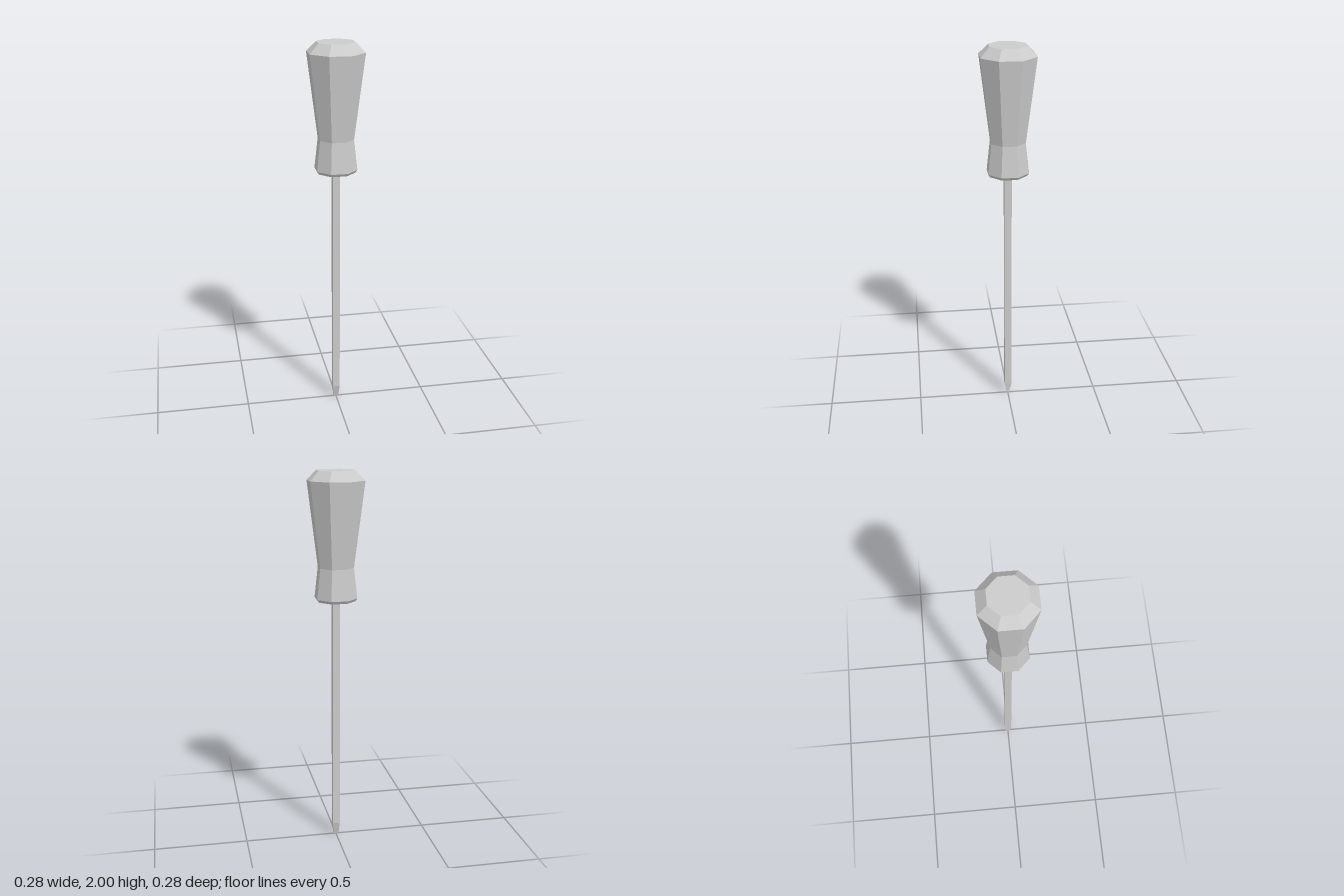
import * as THREE from 'three';

const material = new THREE.MeshStandardMaterial({ color: 0xcccccc, flatShading: true });

function addPart(group, name, geometry) {
  const mesh = new THREE.Mesh(geometry, material);
  mesh.name = name;
  group.add(mesh);
  return mesh;
}

export function createModel() {
  const group = new THREE.Group();
  group.name = 'screwdriver';

  // Eight-sided handle: [distance to flat, height], from bottom to top
  const profile = [[0, 1.335], [0.095, 1.335], [0.105, 1.35], [0.088, 1.51], [0.14, 1.95], [0.093, 2], [0, 2]];
  const toCorner = 1 / Math.cos(Math.PI / 8);
  const points = profile.map(([r, y]) => new THREE.Vector2(r * toCorner, y));
  addPart(group, 'handle', new THREE.LatheGeometry(points, 8, Math.PI / 8).toNonIndexed());

  // Square shaft, set slightly into the handle
  const half = 0.019, tipTop = 0.07, shaftTop = 1.345;
  const shaft = new THREE.BoxGeometry(half * 2, shaftTop - tipTop, half * 2);
  addPart(group, 'shaft', shaft.translate(0, (shaftTop + tipTop) / 2, 0));

  // Flat blade: the lower end narrows a little in x and almost to an edge in z
  const blade = new THREE.BoxGeometry(half * 2, tipTop, half * 2).translate(0, tipTop / 2, 0);
  const pos = blade.attributes.position;
  for (let i = 0; i < pos.count; i++) {
    if (pos.getY(i) < tipTop / 2) {
      pos.setX(i, Math.sign(pos.getX(i)) * 0.014);
      pos.setZ(i, Math.sign(pos.getZ(i)) * 0.002);
    }
  }
  blade.computeVertexNormals();
  addPart(group, 'bladeTip', blade);

  return group;
}
